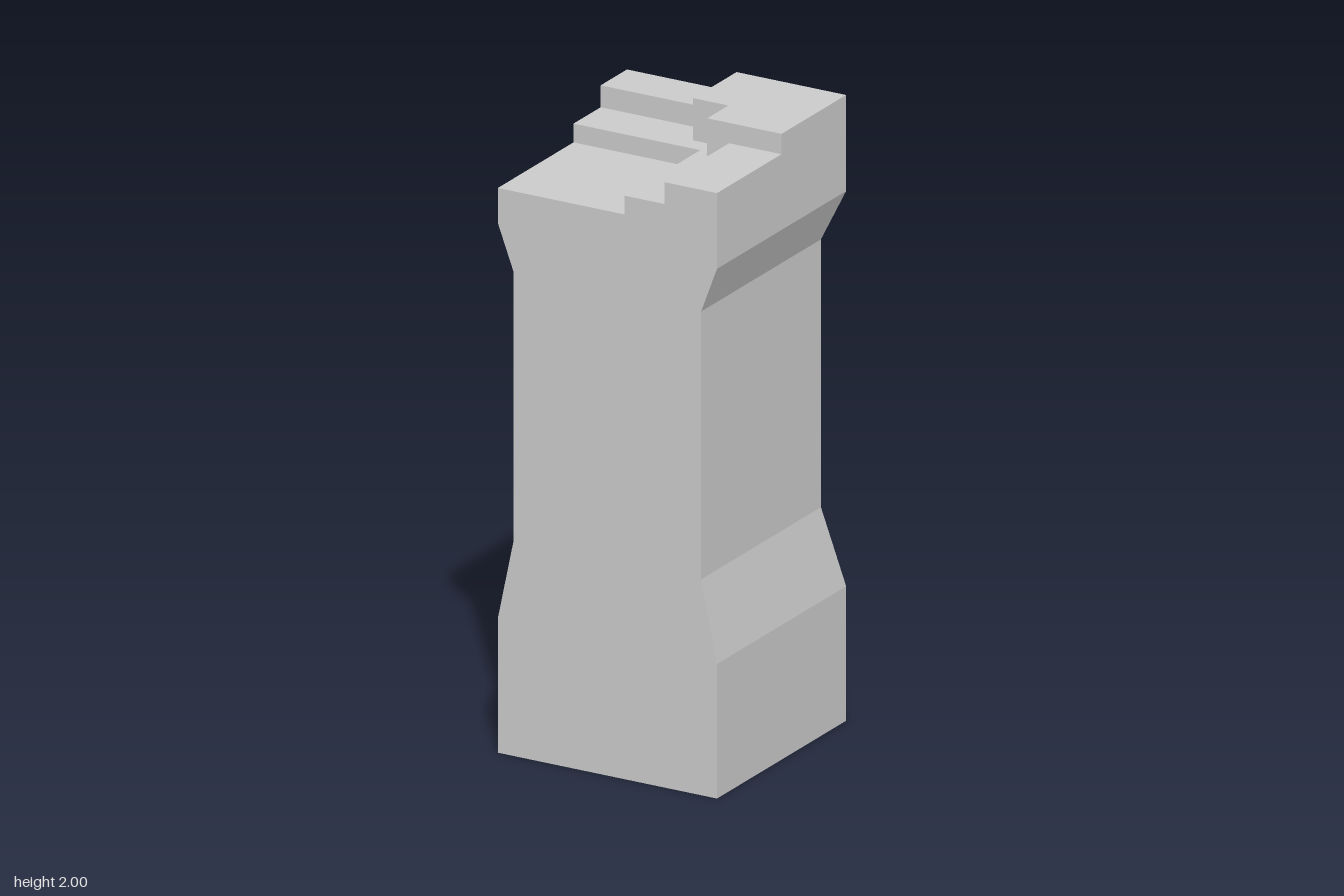
import * as THREE from 'three';

const H = 0.38;    // half width of base and head
const W = 0.325;   // half width at the waist
const LEVELS = [1.805, 1.865, 1.935, 2];

const material = new THREE.MeshStandardMaterial({ color: 0xcccccc, flatShading: true });

// Cross-section corners [x, z], counter-clockwise from above, starting front -x.
// The front stays flush and the back -x corner is pulled in along z only.
const square = [[-H, H], [H, H], [H, -H], [-H, -H]];
const waist = [[-W, H], [W, H], [W, -W], [-H, -W]];

// Closed solid skinned through the four-cornered sections
function loft(sections) {
  const rings = sections.map(([y, ring]) => ring.map(([x, z]) => [x, y, z]));
  const positions = [];
  const tri = (...corners) => corners.forEach((p) => positions.push(...p));
  for (let k = 0; k < rings.length - 1; k++) {
    for (let i = 0; i < 4; i++) {
      const j = (i + 1) % 4;
      const a = rings[k][i], b = rings[k][j], c = rings[k + 1][j], d = rings[k + 1][i];
      if (k === 1) { // lower taper splits along the other diagonal
        tri(a, b, d);
        tri(b, c, d);
      } else {
        tri(a, b, c);
        tri(a, c, d);
      }
    }
  }
  const [t0, t1, t2, t3] = rings[rings.length - 1];
  const [b0, b1, b2, b3] = rings[0];
  tri(t0, t1, t2);
  tri(t0, t2, t3);
  tri(b0, b2, b1);
  tri(b0, b3, b2);
  const geometry = new THREE.BufferGeometry();
  geometry.setAttribute('position', new THREE.Float32BufferAttribute(positions, 3));
  geometry.computeVertexNormals();
  return geometry;
}

// Flat slab with an [x, z] outline between two heights
function slab(outline, y0, y1) {
  const shape = new THREE.Shape(outline.map(([x, z]) => new THREE.Vector2(x, -z)));
  const geometry = new THREE.ExtrudeGeometry(shape, { depth: y1 - y0, bevelEnabled: false });
  return geometry.rotateX(-Math.PI / 2).translate(0, y0, 0);
}

export function createModel() {
  const group = new THREE.Group();
  group.name = 'steppedPillar';
  const add = (name, geometry) => {
    const mesh = new THREE.Mesh(geometry, material);
    mesh.name = name;
    group.add(mesh);
  };

  // Pillar with a narrowed shaft
  add('pillarBody', loft([
    [0, square], [0.43, square], [0.69, waist],
    [1.546, waist], [1.693, square], [LEVELS[0], square],
  ]));

  // Broken top, one terrace above the other
  const terraces = {
    lowerTerrace: [[-H, -0.065], [0.06, -0.065], [0.06, H], [H, H], [H, -H], [-H, -H]],
    middleTerrace: [
      [-H, -0.225], [0, -0.225], [0, -0.125], [0.122, -0.125], [0.122, 0],
      [0.198, 0], [0.198, H], [H, H], [H, -H], [-H, -H],
    ],
    topBlock: [[0, -0.125], [0.122, -0.125], [0.122, 0], [H, 0], [H, -H], [0, -H]],
  };
  Object.entries(terraces).forEach(([name, outline], i) => {
    add(name, slab(outline, LEVELS[i], LEVELS[i + 1]));
  });

  return group;
}
